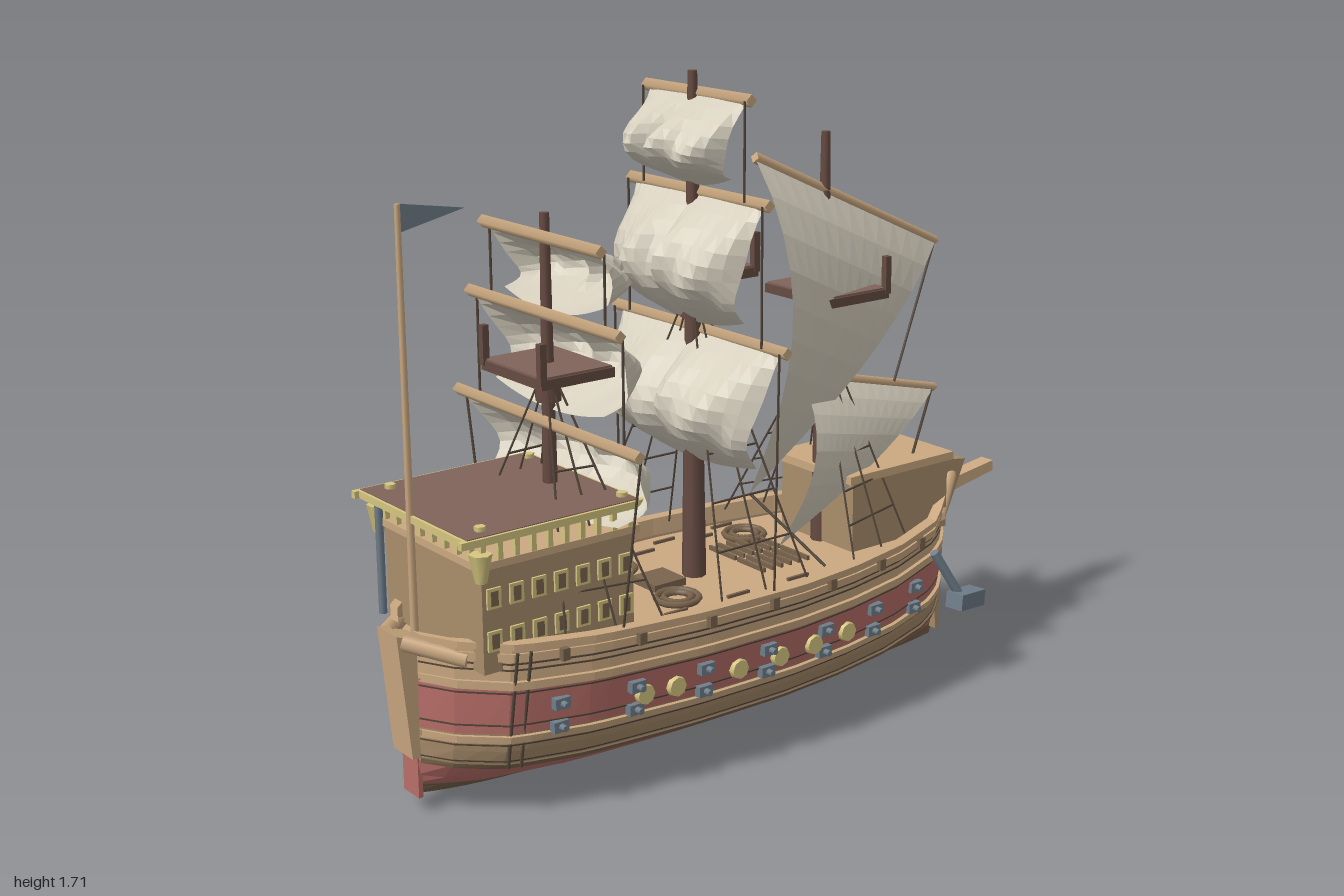
import * as THREE from 'three';

const mat = (name, color) => {
  const m = new THREE.MeshStandardMaterial({ color, side: THREE.DoubleSide });
  m.name = name;
  return m;
};
const V = (x, y, z) => new THREE.Vector3(x, y, z);

// Hull half-width along its length
const BEAM = [[-0.95, 0.05], [-0.9, 0.14], [-0.8, 0.235], [-0.6, 0.29], [-0.3, 0.32], [0, 0.325],
  [0.2, 0.305], [0.4, 0.265], [0.6, 0.19], [0.7, 0.12], [0.78, 0.035]];
// Fullness of the section by height
const SECTION = [[0, 0.04], [0.03, 0.24], [0.07, 0.53], [0.12, 0.78], [0.17, 0.87], [0.22, 0.92], [0.34, 0.98], [0.45, 1]];

function lookup(table, t) {
  for (let i = 1; i < table.length; i++) {
    const [a, va] = table[i - 1], [b, vb] = table[i];
    if (t <= b) return va + (vb - va) * Math.max(0, (t - a) / (b - a));
  }
  return table[table.length - 1][1];
}
function hullPoint(x, y, off = 0, side = 1) {
  let yy = y + 0.02 * x * x * (y / 0.4);
  if (y < 0.2) yy += 0.04 * Math.pow(Math.abs(x) / 0.95, 4) * (1 - y / 0.2);
  if (y > 0.4 && x > 0.6) yy += 0.07 * (x - 0.6) / 0.18;
  return V(x, yy, side * Math.max(0, lookup(BEAM, x) * lookup(SECTION, y) + off));
}

// Faceted surface from a rule over u, v
function grid(nu, nv, fn) {
  const pos = [], idx = [];
  for (let j = 0; j <= nv; j++) for (let i = 0; i <= nu; i++) pos.push(...fn(i / nu, j / nv).toArray());
  for (let j = 0; j < nv; j++) for (let i = 0; i < nu; i++) {
    const a = j * (nu + 1) + i, c = a + nu + 1;
    idx.push(a, a + 1, c + 1, a, c + 1, c);
  }
  const g = new THREE.BufferGeometry();
  g.setAttribute('position', new THREE.Float32BufferAttribute(pos, 3));
  g.setIndex(idx);
  const flat = g.toNonIndexed();
  flat.computeVertexNormals();
  return flat;
}

export function createModel() {
  const ship = new THREE.Group();
  ship.name = 'sailingShip';
  const tan = mat('tanTimber', 0xcba981), wall = mat('cabinTimber', 0xa98d6b), dark = mat('darkPlanking', 0x7a644d),
    roof = mat('roofBrown', 0x7f645a), spar = mat('mastBrown', 0x664b42), red = mat('hullRed', 0xb96f69),
    canvas = mat('canvas', 0xd6cfbe), gold = mat('gold', 0xd6c680), iron = mat('iron', 0x6f7e8a), rope = mat('rope', 0x54473b);

  const add = (name, g, m) => {
    const o = new THREE.Mesh(g, m);
    o.name = name;
    ship.add(o);
    return o;
  };
  const box = (name, m, x, y, z, w, h, d) => {
    const o = add(name, new THREE.BoxGeometry(w, h, d), m);
    o.position.set(x, y, z);
    return o;
  };
  const rod = (name, m, a, b, r, r2 = r, n = 6) => {
    const o = add(name, new THREE.CylinderGeometry(r2, r, a.distanceTo(b), n), m);
    o.position.copy(a).lerp(b, 0.5);
    o.quaternion.setFromUnitVectors(V(0, 1, 0), b.clone().sub(a).normalize());
    return o;
  };
  const plate = (name, m, pts, depth) => {
    const s = new THREE.Shape(pts.map(p => new THREE.Vector2(...p)));
    const g = new THREE.ExtrudeGeometry(s, { depth, bevelEnabled: false });
    return add(name, g.translate(0, 0, -depth / 2), m);
  };
  // Band along both sides of the hull from a profile of [height, offset]
  const band = (name, m, prof) => {
    const n = prof.length - 1;
    for (const side of [1, -1]) add(name, grid(36, n, (u, v) => {
      const [y, off] = prof[Math.round(v * n)];
      return hullPoint(-0.95 + 1.73 * (side > 0 ? u : 1 - u), y, off, side);
    }), m);
  };
  const wale = (name, m, y0, y1, off) => band(name, m, [[y0, 0], [y0, off], [y1, off], [y1, 0]]);

  // Hull planking, trims and rail
  band('keelPlanking', dark, [[0, 0], [0.03, 0], [0.04, 0]]);
  band('lowerHull', red, [[0.04, 0], [0.07, 0], [0.12, 0]]);
  band('middleHull', wall, [[0.12, 0], [0.17, 0], [0.22, 0]]);
  band('gunBand', red, [[0.22, 0], [0.34, 0]]);
  band('upperHull', tan, [[0.34, 0], [0.45, 0]]);
  wale('lowerWale', dark, 0.115, 0.13, 0.008);
  wale('middleWale', tan, 0.198, 0.216, 0.012);
  wale('upperWale', tan, 0.335, 0.355, 0.012);
  band('bulwarkRail', tan, [[0.405, 0], [0.405, 0.012], [0.425, 0.012], [0.425, 0.006], [0.435, 0.006],
    [0.435, 0.016], [0.45, 0.016], [0.45, -0.018], [0.4, -0.018]]);
  band('waterway', dark, [[0.4025, -0.018], [0.4025, -0.034]]);
  for (const y of [0.136, 0.187, 0.24, 0.322, 0.38, 0.395]) wale('plankSeam', rope, y, y + 0.004, 0.003);
  add('deck', grid(30, 2, (u, v) => {
    const p = hullPoint(0.78 - 1.73 * u, 0.4);
    p.z *= 0.98 * (2 * v - 1);
    return p;
  }), tan);

  // Stem, stern post and bowsprit
  plate('stemPost', wall, [[0.77, 0.045], [0.782, 0.045], [0.79, 0.36], [0.87, 0.54], [0.8, 0.55], [0.74, 0.4]], 0.075);
  plate('sternPost', tan, [[-1, 0.47], [-0.97, 0.15], [-0.94, 0.15], [-0.92, 0.44]], 0.09);
  plate('sternKeel', red, [[-0.952, 0.04], [-0.94, 0.04], [-0.94, 0.3], [-0.952, 0.3]], 0.07);
  plate('bowsprit', tan, [[0.78, 0.435], [1, 0.475], [1, 0.505], [0.78, 0.475]], 0.045);
  for (const s of [1, -1]) {
    rod('bowKnee', tan, V(0.66, 0.44, s * 0.15), V(0.82, 0.5, s * 0.03), 0.018);
    rod('sternKnee', tan, V(-0.88, 0.42, s * 0.16), V(-0.98, 0.45, s * 0.04), 0.02);
  }

  for (const s of [1, -1]) {
    // Paired gunports with barrels, and channels above
    for (let i = 0; i < 7; i++) {
      const x = -0.69 + i * 0.198;
      for (const y of [0.233, 0.295]) {
        const z = hullPoint(x, y, 0, s).z;
        box('portFrame', iron, x, y, z + s * 0.008, 0.042, 0.028, 0.02);
        rod('cannon', iron, V(x, y, z), V(x, y, z + s * 0.035), 0.01, 0.008, 8);
      }
      box('channel', dark, x, 0.425, hullPoint(x, 0.425, 0.018, s).z, 0.02, 0.03, 0.016);
    }
    // Gold medallions
    for (const x of [-0.465, -0.375, -0.185, -0.053, 0.065, 0.19]) {
      const p = hullPoint(x, 0.262, 0, s);
      rod('medallion', gold, p, V(p.x, p.y, p.z + s * 0.014), 0.028, 0.025, 8);
    }
    // Side ropes and anchors
    for (const x of [-0.8, -0.768]) rod('sideRope', rope, hullPoint(x, 0.12, 0.012, s), hullPoint(x, 0.43, 0.016, s), 0.004);
    rod('anchorShank', iron, V(0.56, 0.38, s * 0.235), V(0.64, 0.24, s * 0.262), 0.014);
    box('anchorStock', iron, 0.655, 0.235, s * 0.266, 0.105, 0.045, 0.055).rotation.set(0, s * 0.15, -0.1);
  }

  // Stern cabin
  box('cabin', wall, -0.655, 0.53, 0, 0.43, 0.27, 0.43);
  box('cabinCornice', tan, -0.66, 0.665, 0, 0.46, 0.018, 0.46);
  box('cabinRoof', roof, -0.68, 0.737, 0, 0.48, 0.014, 0.48);
  box('roofEdgeStern', gold, -0.92, 0.733, 0, 0.016, 0.018, 0.49);
  box('roofEdgeFront', gold, -0.44, 0.733, 0, 0.016, 0.018, 0.49);
  for (const s of [1, -1]) {
    box('roofEdge', gold, -0.68, 0.733, s * 0.24, 0.52, 0.018, 0.016);
    for (let i = 0; i < 10; i++) box('baluster', gold, -0.87 + i * 0.046, 0.698, s * 0.222, 0.013, 0.055, 0.013);
    for (let i = 0; i < 7; i++) for (const y of [0.475, 0.58]) {
      const x = -0.84 + i * 0.0625;
      box('windowFrame', gold, x, y, s * 0.217, 0.038, 0.05, 0.008);
      box('windowPane', dark, x, y, s * 0.22, 0.02, 0.036, 0.006);
    }
    rod('lantern', gold, V(-0.88, 0.63, s * 0.23), V(-0.88, 0.7, s * 0.23), 0.014, 0.028);
    for (const x of [-0.86, -0.46]) rod('roofKnob', gold, V(x, 0.74, s * 0.2), V(x, 0.755, s * 0.2), 0.014);
  }
  rod('sternPipe', iron, V(-0.895, 0.43, -0.2), V(-0.895, 0.73, -0.2), 0.01);
  for (let i = 0; i < 8; i++) for (const x of [-0.88, -0.45])
    box('endBaluster', gold, x, 0.698, -0.19 + i * 0.054, 0.013, 0.055, 0.013);

  // Forecastle
  box('forecastle', wall, 0.515, 0.505, 0, 0.35, 0.2, 0.29);
  box('forecastleRoof', tan, 0.51, 0.611, 0, 0.38, 0.022, 0.316);

  // Flag
  rod('flagpole', tan, V(-0.925, 0.43, 0), V(-0.925, 1.475, 0), 0.01, 0.007);
  plate('pennant', iron, [[-0.92, 1.475], [-0.75, 1.447], [-0.92, 1.41]], 0.006);

  // Coiled ropes, gratings and spars on deck
  for (const [x, z] of [[0.2, -0.14], [-0.24, 0.13], [-0.24, -0.14]]) for (const r of [0.035, 0.055]) {
    const coil = add('ropeCoil', new THREE.TorusGeometry(r, 0.009, 5, 16), dark);
    coil.rotation.x = Math.PI / 2;
    coil.position.set(x, 0.412, z);
  }
  for (let i = 0; i < 6; i++) for (const s of [1, -1]) {
    box('grating', dark, 0.06 + i * 0.03, 0.41, s * 0.06, 0.008, 0.012, 0.11);
    box('deckSpar', dark, -0.3 + i * 0.1, 0.408, s * (0.2 + (i % 2) * 0.04), 0.07, 0.008, 0.008);
  }
  box('hatch', dark, -0.2, 0.41, 0, 0.1, 0.02, 0.1);

  // Masts, lookouts and shrouds
  const masts = [
    { x: -0.53, top: 1.41, r: 0.022, nest: 1.03, cx: -0.53, hound: 0.98, spread: 0.13, end: -1 },
    { x: -0.085, top: 1.71, r: 0.032, nest: 1.215, cx: -0.085, hound: 1.12, spread: 0.14, end: 1 },
    { x: 0.355, top: 1.52, r: 0.028, nest: 1.095, cx: 0.365, hound: 0.92, spread: 0.12, end: 1 }];
  for (const m of masts) {
    rod('mast', spar, V(m.x, 0.4, 0), V(m.x, m.top, 0), m.r, 0.012, 8);
    rod('mastCollar', spar, V(m.x, m.hound - 0.03, 0), V(m.x, m.hound + 0.03, 0), 0.032, 0.032, 8);
    box('lookoutFloor', spar, m.cx, m.nest, 0, 0.21, 0.024, 0.26);
    box('lookoutDeck', roof, m.cx, m.nest + 0.014, 0, 0.2, 0.006, 0.25);
    for (const s of [1, -1]) {
      box('lookoutPost', spar, m.cx + m.end * 0.1, m.nest + 0.05, s * 0.123, 0.018, 0.1, 0.018);
      const ends = [-1, 0, 1].map(i =>
        [hullPoint(m.x + m.spread * i, 0.44, -0.03, s), V(m.x + i * 0.018, m.hound, s * 0.025)]);
      for (const [a, b] of ends) rod('shroud', rope, a, b, 0.0035, 0.0035, 4);
      for (let k = 1; k < 5; k++) rod('ratline', rope, ends[0][0].clone().lerp(ends[0][1], k / 6),
        ends[2][0].clone().lerp(ends[2][1], k / 6), 0.003, 0.003, 4);
    }
  }

  // Square sails: [mast x, yard height, foot height, yard half-length, billow]
  const squares = [
    [-0.085, 1.655, 1.44, 0.21, -0.18], [-0.085, 1.41, 1.09, 0.28, -0.175], [-0.085, 1.06, 0.73, 0.35, -0.175],
    [-0.53, 1.355, 1.18, 0.25, 0.2], [-0.53, 1.17, 0.94, 0.32, 0.2], [-0.53, 0.9, 0.68, 0.39, 0.2]];
  squares.forEach(([x, y, foot, half, billow], k) => {
    const dir = Math.sign(billow);
    rod('yard', tan, V(x - dir * 0.015, y, -half), V(x - dir * 0.015, y, half), 0.016, 0.016, 4);
    // Two lobes with a crease down the middle
    add('squareSail', grid(20, 10, (u, v) => {
      const c = 2 * u - 1, a = Math.abs(c), arch = Math.sin(Math.PI * v);
      const lobe = 0.32 + 0.72 * Math.sqrt(1 - a * a) * (1 - 0.3 * a) - 0.32 * Math.max(0, 1 - a / 0.2);
      const fold = 0.012 * Math.sin(u * 23 + v * 7 + k);
      const sag = 0.04 * a * a * arch + 0.03 * v * (1 - a * a);
      return V(x - dir * 0.02 * (1 - v) + (billow * lobe + fold) * arch, y + (foot - y) * v - sag + 0.02 * v,
        c * half * (0.92 - 0.2 * v));
    }), canvas);
    // Sheets hang from each yard end to the yard below or the rail
    const foots = k % 3 === 2 ? null : squares[k + 1][1];
    for (const s of [1, -1]) {
      const a = V(x, y, s * half * 0.96);
      rod('sheet', rope, a, foots ? V(x, foots, a.z) : hullPoint(x, 0.45, 0, s), 0.004, 0.004, 4);
    }
  });

  // Slanting sails on the foremast: yard ends, foot corner, belly
  const slants = [
    [V(0.115, 1.475, 0), V(0.765, 1.18, 0), V(0.07, 0.6, 0.04), 0.16],
    [V(0.25, 0.89, 0.03), V(0.775, 0.76, 0), V(0.075, 0.48, 0.15), 0.1]];
  for (const [a, b, foot, belly] of slants) {
    rod('slantingYard', tan, a, b, 0.015, 0.012, 4);
    add('slantingSail', grid(12, 10, (u, v) => {
      const p = a.clone().lerp(b, u).lerp(foot, v);
      p.z += belly * Math.sin(Math.PI * Math.pow(v, 0.85)) * (1 - 0.6 * u);
      return p;
    }), canvas);
  }
  rod('brace', rope, V(0.755, 1.17, 0), V(0.6, 0.81, 0.02), 0.004, 0.004, 4);
  rod('brace', rope, V(0.765, 0.76, 0), V(0.6, 0.62, 0.1), 0.004, 0.004, 4);
  rod('footSheet', rope, V(0.07, 0.6, 0.04), V(0.15, 0.44, 0.25), 0.004, 0.004, 4);
  return ship;
}
